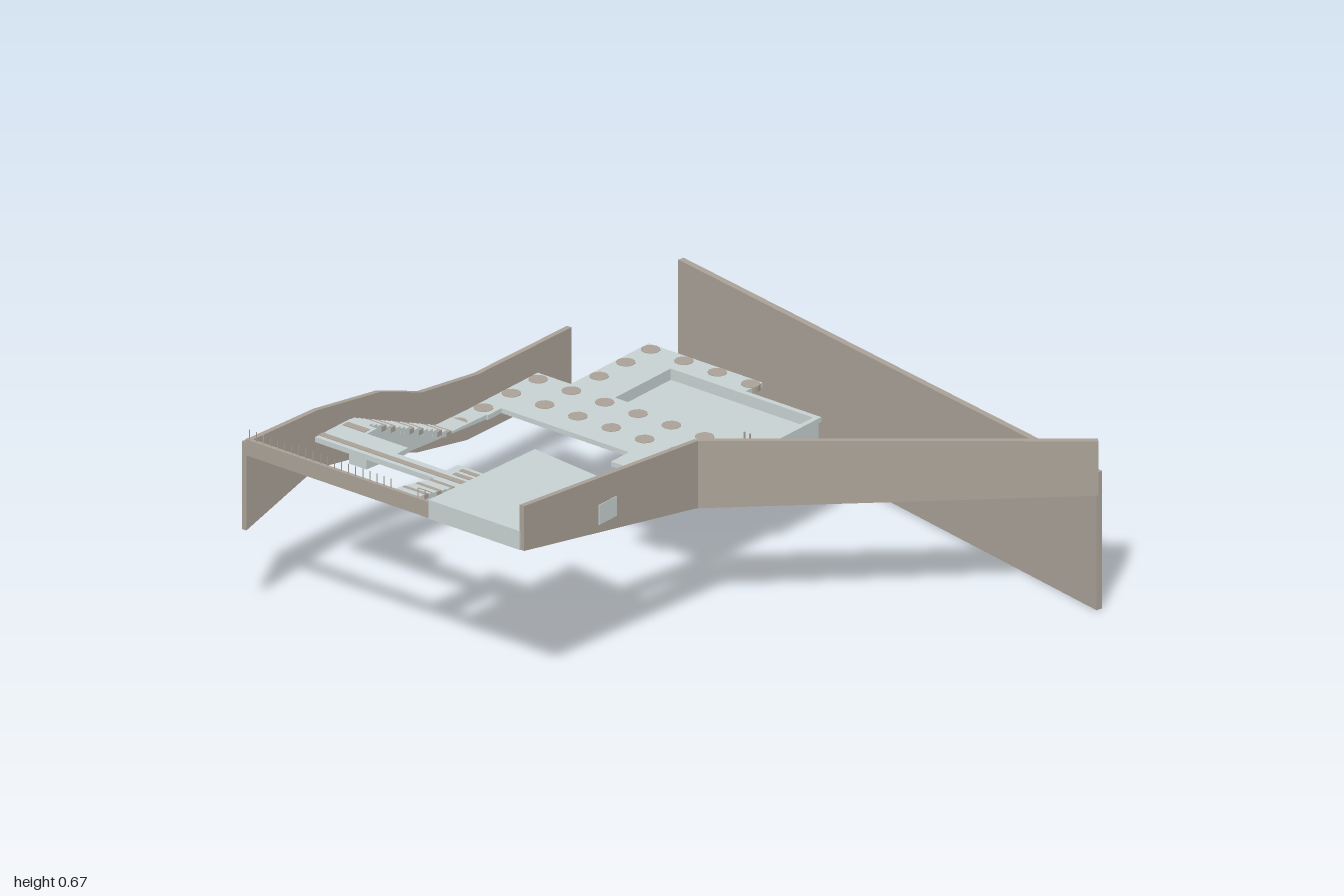
import * as THREE from 'three';

export function createModel() {
  const model = new THREE.Group();
  const concrete = new THREE.MeshStandardMaterial({ color: 0xaaa298 });
  concrete.name = 'warm concrete';
  const paving = new THREE.MeshStandardMaterial({ color: 0xc8d1d1 });
  paving.name = 'pale paving';

  function add(name, geometry, material) {
    const mesh = new THREE.Mesh(geometry, material);
    mesh.name = name;
    model.add(mesh);
    return mesh;
  }
  const toShape = (pts) => new THREE.Shape(pts.map(([x, y]) => new THREE.Vector2(x, y)));

  // Upright panel: outline in (distance from a towards b, height)
  function panel(name, a, b, outline, thick, material) {
    const g = new THREE.ExtrudeGeometry(toShape(outline), { depth: thick, bevelEnabled: false });
    g.translate(0, 0, -thick / 2);
    g.rotateY(Math.atan2(a[1] - b[1], b[0] - a[0]));
    g.translate(a[0], 0, a[1]);
    return add(name, g, material);
  }

  // Flat slab: outline in (x, z), hanging down from its top
  function slab(name, outline, top, thick, material, hole) {
    const shape = toShape(outline);
    if (hole) shape.holes.push(new THREE.Path(hole.map(([x, z]) => new THREE.Vector2(x, z))));
    const g = new THREE.ExtrudeGeometry(shape, { depth: thick, bevelEnabled: false });
    g.rotateX(Math.PI / 2);
    g.translate(0, top, 0);
    return add(name, g, material);
  }

  function box(name, x0, x1, y0, y1, z0, z1, material) {
    const g = new THREE.BoxGeometry(x1 - x0, y1 - y0, z1 - z0);
    g.translate((x0 + x1) / 2, (y0 + y1) / 2, (z0 + z1) / 2);
    return add(name, g, material);
  }
  const rect = (x0, z0, x1, z1) => [[x0, z0], [x1, z0], [x1, z1], [x0, z1]];

  // Perimeter walls
  const backLength = Math.hypot(1.83, 0.375);
  panel('backWall', [-0.918, -0.988], [0.912, -0.613],
    [[0, 0.01], [backLength, 0], [backLength, 0.43], [0, 0.42]], 0.02, concrete);
  const diagonal = Math.hypot(0.802, 0.815);
  panel('rightWallDiagonal', [0.108, 0.205], [0.91, -0.61],
    [[0, 0.38], [diagonal, 0.36], [diagonal, 0.53], [0, 0.59]], 0.018, concrete);
  panel('rightWallStraight', [0.108, 0], [0.108, 1],
    [[0.205, 0.38], [0.99, 0.53], [0.99, 0.67], [0.205, 0.59]], 0.016, concrete);
  box('wallWindow', 0.098, 0.118, 0.49, 0.552, 0.575, 0.655, paving);
  panel('leftWall', [-0.905, 0], [-0.905, 1], [
    [0.99, 0.295], [0.99, 0.57], [0.67, 0.555], [0.39, 0.51], [0.2, 0.44], [-0.05, 0.405], [-0.47, 0.4],
    [-0.47, 0.21], [0, 0.218], [0.22, 0.26], [0.42, 0.33], [0.68, 0.375],
  ], 0.016, concrete);
  box('frontBeam', -0.9, -0.22, 0.53, 0.58, 0.978, 0.99, concrete);

  // Rear terrace with the pool cut out
  const pool = rect(-0.525, -0.458, -0.006, -0.208);
  slab('terrace', [
    [-0.68, -0.55], [-0.265, -0.55], [-0.265, -0.475], [0.01, -0.475], [0.01, 0.115], [-0.16, 0.115],
    [-0.16, 0.13], [-0.265, 0.13], [-0.265, 0.05], [-0.73, 0.05], [-0.73, 0.11], [-0.8, 0.11],
    [-0.8, -0.2], [-0.68, -0.2],
  ], 0.385, 0.015, paving, pool);
  slab('poolWalls', rect(-0.535, -0.468, 0.006, -0.198), 0.384, 0.074, paving, pool);
  box('poolFloor', -0.53, 0, 0.31, 0.35, -0.463, -0.203, paving);
  for (const x of [-0.07, -0.05]) box('poolLadder', x - 0.002, x + 0.002, 0.35, 0.405, -0.23, -0.226, concrete);

  // Round paving insets, showing above and below the slab
  function dot(x, z, top, thick) {
    const g = new THREE.CylinderGeometry(0.028, 0.028, thick + 0.003, 12);
    g.translate(x, top - thick / 2, z);
    add('pavingDot', g, concrete);
  }
  const step = 0.1215;
  for (let i = 0; i < 7; i++) {
    const x = -0.042 - i * step;
    dot(x, -0.165, 0.385, 0.015);
    dot(x, -0.045, 0.385, 0.015);
    if (i < 2 || i === 6) dot(x, 0.08, 0.385, 0.015);
    if (i > 1 && i < 6) dot(x, -0.521, 0.385, 0.015);
  }
  for (const z of [-0.41, -0.29]) dot(-0.65, z, 0.385, 0.015);

  // Half-round insets along the foot of the pool walls
  function halfDot(x, z, turn) {
    const g = new THREE.CircleGeometry(0.025, 10, 0, Math.PI);
    g.rotateY(turn);
    g.translate(x, 0.311, z);
    add('poolWallDot', g, concrete);
  }
  for (let i = 0; i < 5; i++) {
    halfDot(-0.05 - i * 0.0955, -0.196, 0);
    halfDot(-0.05 - i * 0.0955, -0.47, Math.PI);
  }
  for (let i = 0; i < 3; i++) {
    halfDot(0.008, -0.24 - i * 0.09, Math.PI / 2);
    halfDot(-0.537, -0.24 - i * 0.09, -Math.PI / 2);
  }

  // Flight of steps rising towards +z
  function flight(name, x0, x1, z0, z1, y0, y1, count, thick, bands) {
    const run = (z1 - z0) / count, rise = (y1 - y0) / count;
    for (let i = 0; i < count; i++) {
      const y = y0 + rise * (i + 1), z = z0 + run * i;
      box(name, x0, x1, y - thick, y, z, z + run, bands(i) ? concrete : paving);
    }
  }

  // Right path and stair up to the raised room
  box('rightPath', -0.055, 0.01, 0.36, 0.385, 0.115, 0.22, paving);
  dot(-0.023, 0.19, 0.385, 0.025);
  flight('rightStair', -0.055, 0.01, 0.22, 0.56, 0.385, 0.5, 15, 0.02, (i) => i % 5 === 2 || i % 5 === 3);

  // Left stair on a solid base up to the front platform
  panel('leftStairBase', [-0.767, 0], [-0.767, 1],
    [[0.1, 0.37], [0.3, 0.385], [0.65, 0.41], [0.65, 0.53], [0.6, 0.53], [0.28, 0.39], [0.1, 0.385]], 0.064, paving);
  dot(-0.767, 0.2, 0.386, 0.004);
  flight('leftStair', -0.8, -0.734, 0.27, 0.645, 0.385, 0.545, 18, 0.016, (i) => i % 6 < 3 && i % 2 === 0);

  // Front platform with inlaid bands
  slab('frontPlatform', [
    [-0.8, 0.645], [-0.7, 0.645], [-0.7, 0.69], [-0.55, 0.69], [-0.55, 0.74], [-0.37, 0.74],
    [-0.37, 0.69], [-0.2, 0.69], [-0.2, 0.8], [-0.8, 0.8],
  ], 0.547, 0.016, paving);
  box('platformBand', -0.8, -0.22, 0.546, 0.549, 0.765, 0.785, concrete);
  box('platformBand', -0.79, -0.71, 0.546, 0.549, 0.665, 0.69, concrete);
  for (const z of [0.705, 0.735]) box('platformBand', -0.34, -0.25, 0.546, 0.549, z, z + 0.015, concrete);
  flight('entranceStair', -0.36, -0.275, 0.8, 0.978, 0.547, 0.58, 9, 0.014, (i) => i % 3 === 1);

  // Raised room: flat roof, floor sloping up to the front
  const room = new THREE.BoxGeometry(1, 1, 1);
  const p = room.attributes.position;
  for (let i = 0; i < p.count; i++) {
    const front = p.getZ(i) > 0, top = p.getY(i) > 0, right = p.getX(i) > 0;
    p.setXYZ(i, right ? 0.102 : front ? -0.23 : -0.21, top ? 0.589 : front ? 0.53 : 0.49,
      front ? 0.993 : right ? 0.575 : 0.54);
  }
  room.computeVertexNormals();
  add('raisedRoom', room, paving);

  // Slim railing posts and rail along the front
  for (let i = 0; i < 21; i++) {
    const x = -0.89 + i * 0.0258;
    box('railingPost', x - 0.001, x + 0.001, 0.58, 0.61, 0.983, 0.985, concrete);
  }
  for (const x of [-0.275, -0.25]) box('railingPost', x - 0.001, x + 0.001, 0.58, 0.61, 0.983, 0.985, concrete);
  box('railingRail', -0.275, -0.225, 0.609, 0.611, 0.983, 0.985, concrete);

  return model;
}
